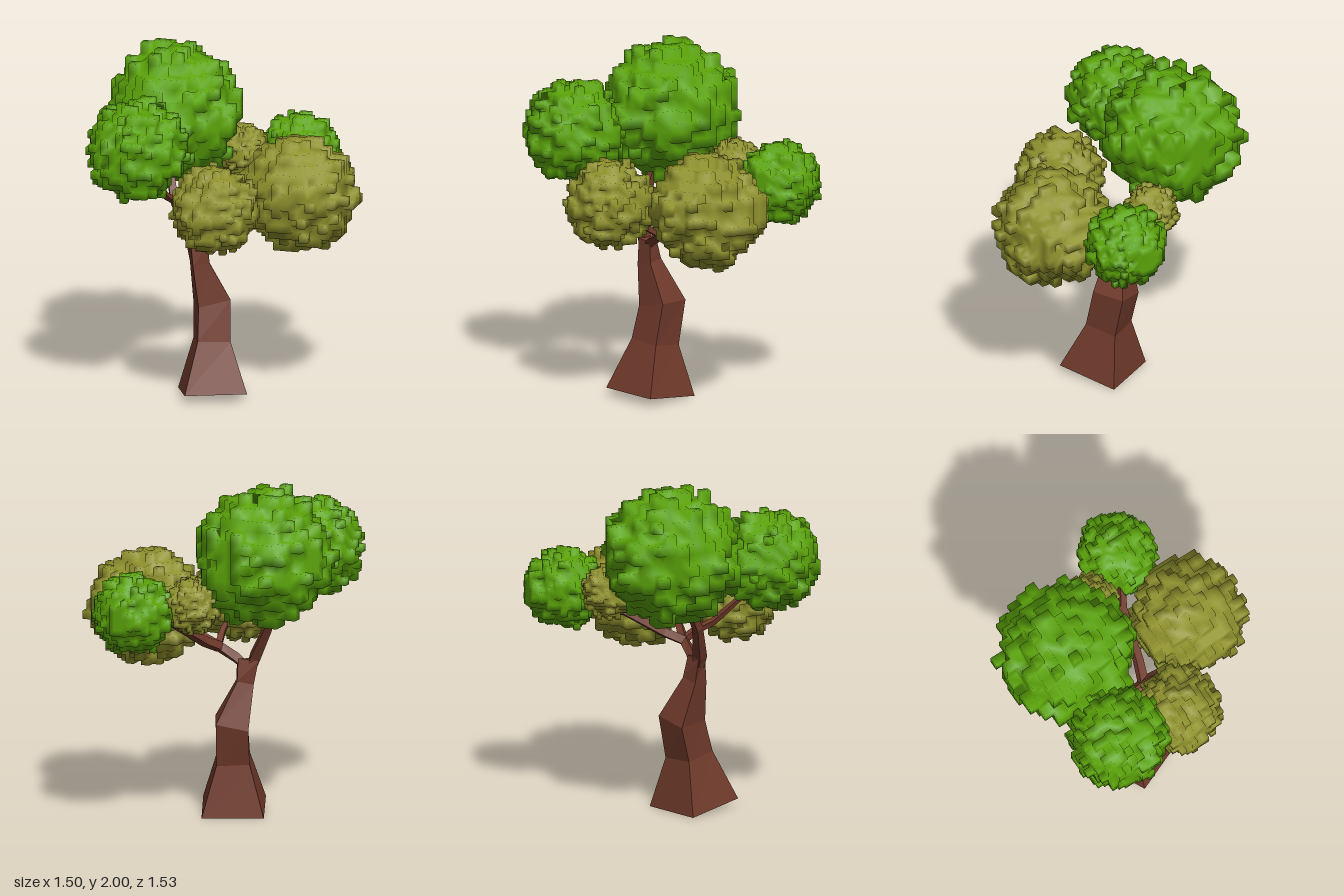
import * as THREE from 'three';

const bark = new THREE.MeshStandardMaterial({ color: 0x703a2b });
bark.name = 'bark brown';
const green = new THREE.MeshStandardMaterial({ color: 0x5ca50a });
green.name = 'leaf green';
const olive = new THREE.MeshStandardMaterial({ color: 0x91932e });
olive.name = 'leaf olive';

// Faceted four-sided solid through rings of corners, closed at both ends
function loft(rings) {
  const pos = [];
  const quad = (a, b, c, d) => [a, b, c, a, c, d].forEach((p) => pos.push(...p));
  for (let r = 0; r < rings.length - 1; r++) {
    const lo = rings[r], hi = rings[r + 1];
    for (let i = 0; i < 4; i++) {
      const j = (i + 1) % 4;
      quad(lo[i], lo[j], hi[j], hi[i]);
    }
  }
  const [a, b, c, d] = rings[0];
  quad(a, d, c, b);
  quad(...rings[rings.length - 1]);
  const g = new THREE.BufferGeometry();
  g.setAttribute('position', new THREE.Float32BufferAttribute(pos, 3));
  g.computeVertexNormals();
  return g;
}

// Square-section branch along points given as [x, y, z, radius]
function branchGeometry(points) {
  const p = points.map((q) => new THREE.Vector3(q[0], q[1], q[2]));
  const across = new THREE.Vector3(0.92, 0, -0.39);
  const rings = p.map((c, i) => {
    const dir = p[Math.min(i + 1, p.length - 1)].clone().sub(p[Math.max(i - 1, 0)]).normalize();
    const u = across.clone().addScaledVector(dir, -dir.dot(across)).normalize();
    const w = dir.clone().cross(u);
    return [0, 1, 2, 3].map((k) => {
      const a = Math.PI / 4 + k * Math.PI / 2;
      return c.clone().addScaledVector(u, Math.cos(a) * points[i][3])
        .addScaledVector(w, Math.sin(a) * points[i][3]).toArray();
    });
  });
  return loft(rings);
}

// Repeatable noise for one cell, 0 to 1
function hash(i, j, k, seed) {
  let h = Math.imul(i + 31, 374761393) ^ Math.imul(j + 57, 668265263) ^ Math.imul(k + 83, 1274126177) ^ Math.imul(seed, 974634777);
  h = Math.imul(h ^ (h >>> 13), 1103515245);
  h = Math.imul(h ^ (h >>> 15), 2246822519);
  return ((h ^ (h >>> 16)) >>> 0) / 4294967296;
}

// Blocky leaf ball: ragged sphere of cells with corners shared for soft shading
function leafBall(radius, seed) {
  const n = 6, size = radius / 6.5;
  const solid = (c) => {
    if (Math.max(...c.map(Math.abs)) > n) return false;
    return Math.hypot(...c) < 5.5 + 1.4 * hash(...c, seed);
  };
  const pos = [], index = [], known = new Map();
  const corner = (c) => {
    const key = c.join();
    if (!known.has(key)) {
      known.set(key, pos.length / 3);
      pos.push(...c.map((v) => (v - 0.5) * size));
    }
    return known.get(key);
  };
  const square = [[0, 0], [1, 0], [1, 1], [0, 1]];
  for (let i = -n; i <= n; i++) for (let j = -n; j <= n; j++) for (let k = -n; k <= n; k++) {
    const cell = [i, j, k];
    if (!solid(cell)) continue;
    for (let axis = 0; axis < 3; axis++) for (const side of [1, -1]) {
      const next = [...cell];
      next[axis] += side;
      if (solid(next)) continue;
      const ids = square.map(([s, t]) => {
        const c = [...cell];
        if (side > 0) c[axis] += 1;
        c[(axis + 1) % 3] += s;
        c[(axis + 2) % 3] += t;
        return corner(c);
      });
      if (side < 0) ids.reverse();
      index.push(ids[0], ids[1], ids[2], ids[0], ids[2], ids[3]);
    }
  }
  const g = new THREE.BufferGeometry();
  g.setAttribute('position', new THREE.Float32BufferAttribute(pos, 3));
  g.setIndex(index);
  g.computeVertexNormals();
  return g;
}

export function createModel() {
  const tree = new THREE.Group();
  tree.name = 'tree';
  const add = (name, geometry, material) => {
    const mesh = new THREE.Mesh(geometry, material);
    mesh.name = name;
    tree.add(mesh);
    return mesh;
  };

  // Trunk, flared at the tilted foot and bent on the way up
  add('trunk', loft([
    [[-0.15, 0.05, 0.38], [0.185, 0.05, 0.24], [0.04, 0, -0.095], [-0.29, 0, 0.05]],
    [[-0.115, 0.34, 0.235], [0.06, 0.33, 0.155], [-0.02, 0.3, -0.02], [-0.195, 0.31, 0.06]],
    [[-0.125, 0.53, 0.185], [0.045, 0.57, 0.105], [-0.04, 0.56, -0.07], [-0.21, 0.52, 0.01]],
    [[-0.16, 0.77, 0.18], [-0.075, 0.79, 0.135], [-0.12, 0.8, 0.05], [-0.205, 0.78, 0.095]],
    [[-0.18, 0.92, 0.165], [-0.08, 0.91, 0.135], [-0.11, 0.93, 0.085], [-0.23, 0.92, 0.105]],
  ]), bark);

  // Branches, each ending inside a leaf ball
  const branches = {
    rightBranch: [[-0.175, 0.87, 0.125, 0.035], [-0.2, 0.94, 0.125, 0.042], [-0.31, 1.14, 0.07, 0.032], [-0.37, 1.35, -0.03, 0.024]],
    leftBranch: [[-0.13, 0.89, 0.12, 0.03], [-0.08, 0.925, 0.12, 0.035], [0.03, 0.985, 0.11, 0.032], [0.2, 1.05, 0.14, 0.024]],
    backBranch: [[0.02, 0.98, 0.11, 0.035], [0.06, 1.03, 0, 0.033], [0.13, 1.19, -0.27, 0.028], [0.22, 1.26, -0.42, 0.022]],
    backTwig: [[0.13, 1.19, -0.26, 0.025], [0.07, 1.24, -0.3, 0.02], [0, 1.3, -0.35, 0.015]],
    frontTwig: [[0.03, 0.98, 0.11, 0.028], [0.05, 1.05, 0.22, 0.022], [0.05, 1.12, 0.34, 0.016]],
    rightFrontTwig: [[-0.3, 1.13, 0.07, 0.025], [-0.32, 1.18, 0.17, 0.022], [-0.38, 1.36, 0.36, 0.016]],
  };
  for (const [name, points] of Object.entries(branches)) add(name, branchGeometry(points), bark);

  // Leaf balls: name, centre, radius, colour
  [
    ['largeCrown', [-0.365, 1.61, -0.112], 0.39, green],
    ['rightFrontCrown', [-0.402, 1.54, 0.48], 0.285, green],
    ['backCrown', [0.265, 1.297, -0.537], 0.23, green],
    ['leftCrown', [0.425, 1.215, -0.025], 0.325, olive],
    ['frontCrown', [0.043, 1.207, 0.43], 0.246, olive],
    ['smallBackCrown', [-0.03, 1.335, -0.37], 0.155, olive],
  ].forEach(([name, centre, radius, material], i) => {
    add(name, leafBall(radius, i + 1), material).position.set(...centre);
  });

  return tree;
}
